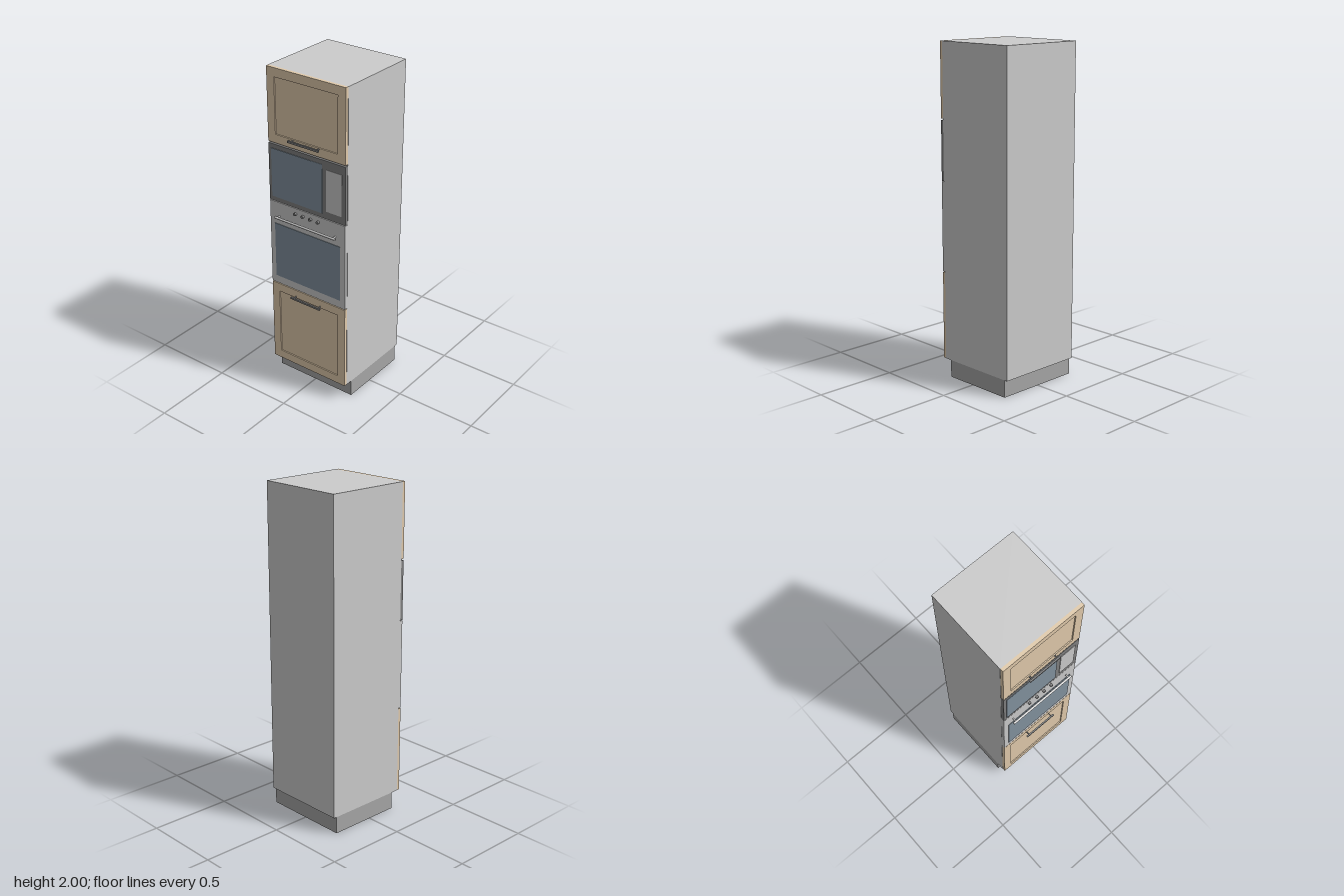
import * as THREE from 'three';

const mat = (color) => new THREE.MeshStandardMaterial({ color });

export function createModel() {
  const grey = mat(0xcccccc);
  const wood = mat(0xe1cbac);
  const dark = mat(0x808080);
  const glass = mat(0x83929f);
  const plinthGrey = mat(0xa6a6a6);
  const model = new THREE.Group();
  model.name = 'ovenCabinet';

  const add = (name, geometry, material, parent = model) => {
    const mesh = new THREE.Mesh(geometry, material);
    mesh.name = name;
    parent.add(mesh);
    return mesh;
  };

  // Box given by its extents on each axis
  const box = (name, material, [x0, x1], [y0, y1], [z0, z1], parent) => {
    const mesh = add(name, new THREE.BoxGeometry(x1 - x0, y1 - y0, z1 - z0), material, parent);
    mesh.position.set((x0 + x1) / 2, (y0 + y1) / 2, (z0 + z1) / 2);
    return mesh;
  };

  // Cylinder pointing forwards
  const peg = (name, material, radius, x, y, z0, z1, parent) => {
    const mesh = add(name, new THREE.CylinderGeometry(radius, radius, z1 - z0, 20), material, parent);
    mesh.rotation.x = Math.PI / 2;
    mesh.position.set(x, y, (z0 + z1) / 2);
    return mesh;
  };

  // Carcass and recessed plinth
  box('carcass', grey, [-0.272, 0.272], [0.105, 2], [-0.29, 0.235]);
  box('plinth', plinthGrey, [-0.272, 0.272], [0, 0.105], [-0.27, 0.19]);

  // Framed door with a sunken panel and a bar handle
  const door = (name, y0, y1, handleY) => {
    const group = new THREE.Group();
    group.name = name;
    model.add(group);
    const w = 0.27, inner = 0.217, rail = 0.053;
    const rect = (Type, x, a, b) => new Type([
      new THREE.Vector2(-x, a), new THREE.Vector2(x, a),
      new THREE.Vector2(x, b), new THREE.Vector2(-x, b),
    ]);
    const outline = rect(THREE.Shape, w, y0, y1);
    outline.holes.push(rect(THREE.Path, inner, y0 + rail, y1 - rail));
    const frame = new THREE.ExtrudeGeometry(outline, { depth: 0.02, bevelEnabled: false });
    add('doorFrame', frame, wood, group).position.z = 0.235;
    box('doorPanel', wood, [-inner, inner], [y0 + rail, y1 - rail], [0.235, 0.248], group);

    box('doorHandleBar', dark, [-0.108, 0.108], [handleY - 0.006, handleY + 0.006], [0.276, 0.286], group);
    for (const side of [-1, 1]) {
      peg('doorHandlePost', dark, 0.004, side * 0.09, handleY, 0.248, 0.28, group);
    }
  };
  door('upperDoor', 1.557, 2, 1.605);
  door('lowerDoor', 0.105, 0.64, 0.596);

  // Microwave
  const microwave = new THREE.Group();
  microwave.name = 'microwave';
  model.add(microwave);
  box('microwaveFront', dark, [-0.27, 0.27], [1.192, 1.548], [0.235, 0.255], microwave);
  box('microwaveWindow', glass, [-0.25, 0.112], [1.22, 1.52], [0.25, 0.258], microwave);
  box('microwaveControlPanel', grey, [0.14, 0.245], [1.24, 1.495], [0.25, 0.258], microwave);

  // Oven
  const oven = new THREE.Group();
  oven.name = 'oven';
  model.add(oven);
  box('ovenFront', grey, [-0.27, 0.27], [0.645, 1.188], [0.235, 0.255], oven);
  box('ovenWindow', glass, [-0.236, 0.236], [0.695, 1.047], [0.25, 0.258], oven);
  for (let i = 0; i < 4; i++) {
    peg('ovenKnob', dark, 0.009, -0.082 + i * 0.0545, 1.154, 0.25, 0.268, oven);
  }

  // Oven handle
  const bar = add('ovenHandleBar', new THREE.CylinderGeometry(0.007, 0.007, 0.437, 20), grey, oven);
  bar.rotation.z = Math.PI / 2;
  bar.position.set(0, 1.1, 0.281);
  for (const side of [-1, 1]) {
    peg('ovenHandlePost', grey, 0.005, side * 0.201, 1.1, 0.25, 0.281, oven);
  }

  return model;
}
